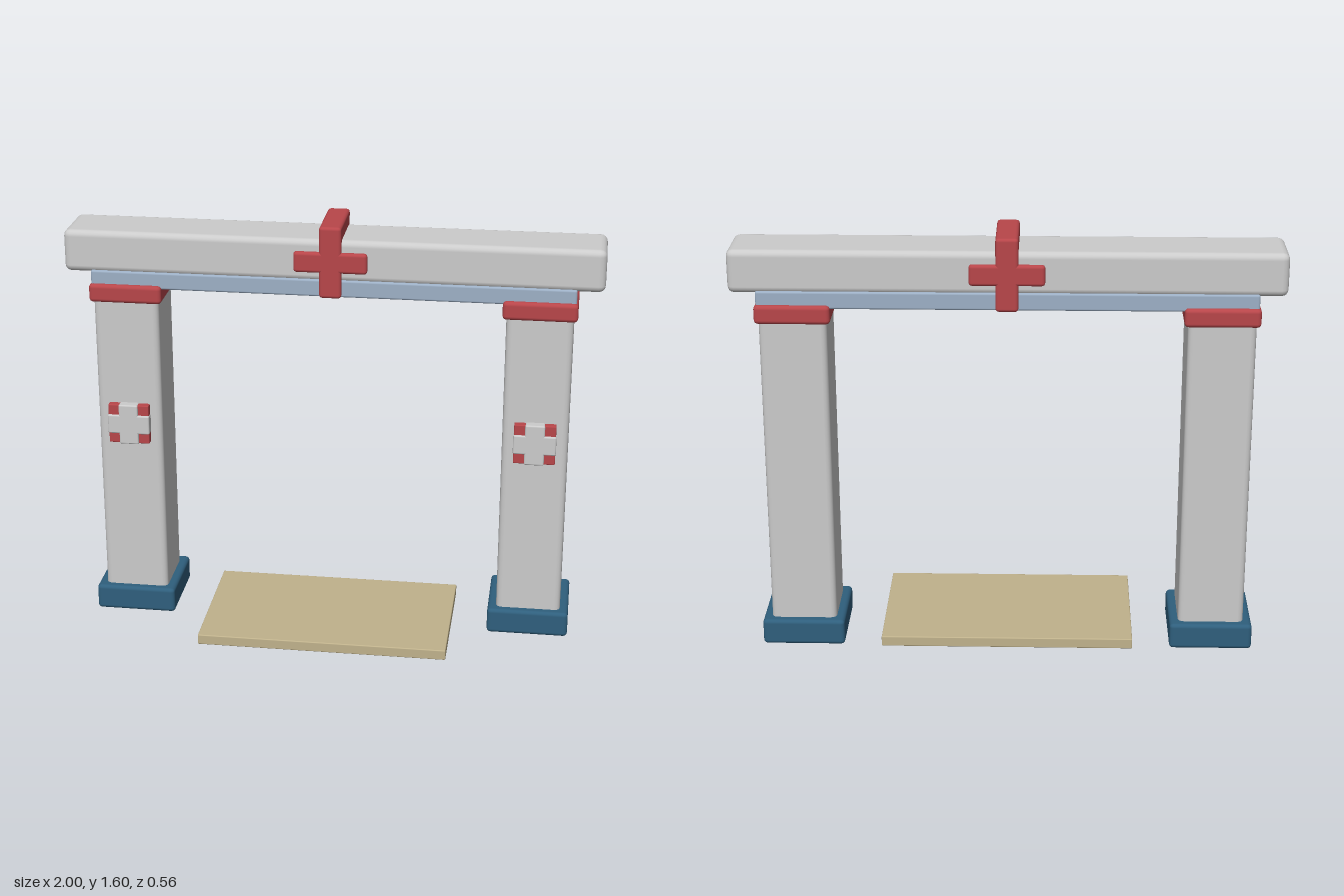
import * as THREE from 'three';
import { RoundedBoxGeometry } from 'three/addons/geometries/RoundedBoxGeometry.js';

const material = (color) => new THREE.MeshStandardMaterial({ color });

export function createModel() {
  const stone = material(0xcccccc);
  const red = material(0xb8464a);
  const blue = material(0x2f5f7d);
  const paleBlue = material(0x9db0c6);
  const tan = material(0xc0b28c);

  const model = new THREE.Group();
  model.name = 'gateway';

  // Softly bevelled block given by its min and max on each axis
  function block(parent, name, mat, [x0, x1], [y0, y1], [z0, z1], radius) {
    const geometry = new RoundedBoxGeometry(x1 - x0, y1 - y0, z1 - z0, 2, radius);
    const mesh = new THREE.Mesh(geometry, mat);
    mesh.position.set((x0 + x1) / 2, (y0 + y1) / 2, (z0 + z1) / 2);
    mesh.name = name;
    parent.add(mesh);
  }
  const span = (half) => [-half, half];

  // Two pillars, each with a foot, a collar and a front emblem
  for (const side of [-1, 1]) {
    const pillar = new THREE.Group();
    pillar.name = side > 0 ? 'leftPillar' : 'rightPillar';
    pillar.position.x = side * 0.77;
    block(pillar, 'shaft', stone, span(0.123), [0, 1.3], [-0.243, 0.008], 0.022);
    block(pillar, 'foot', blue, span(0.155), [0.007, 0.107], [-0.275, 0.038], 0.015);
    block(pillar, 'collar', red, span(0.137), [1.28, 1.35], [-0.256, 0.02], 0.015);
    block(pillar, 'emblemPlate', red, span(0.078), [0.724, 0.879], [-0.02, 0.034], 0.004);
    block(pillar, 'emblemUpright', stone, span(0.037), [0.722, 0.881], [-0.02, 0.042], 0.006);
    block(pillar, 'emblemBar', stone, span(0.08), [0.764, 0.839], [-0.02, 0.042], 0.006);
    model.add(pillar);
  }

  // Lintel resting on a thin rail
  block(model, 'rail', paleBlue, span(0.9), [1.335, 1.4], [-0.24, 0.003], 0.008);
  block(model, 'lintel', stone, span(1), [1.39, 1.55], [-0.237, -0.001], 0.025);

  // Cross that wraps right around the lintel
  const cross = new THREE.Group();
  cross.name = 'lintelCross';
  block(cross, 'crossUpright', red, span(0.041), [1.332, 1.603], [-0.252, 0.015], 0.012);
  block(cross, 'crossBar', red, span(0.136), [1.428, 1.506], [-0.252, 0.015], 0.012);
  model.add(cross);

  // Floor mat between the pillars
  block(model, 'mat', tan, span(0.475), [0.006, 0.046], span(0.278), 0.004);

  return model;
}
